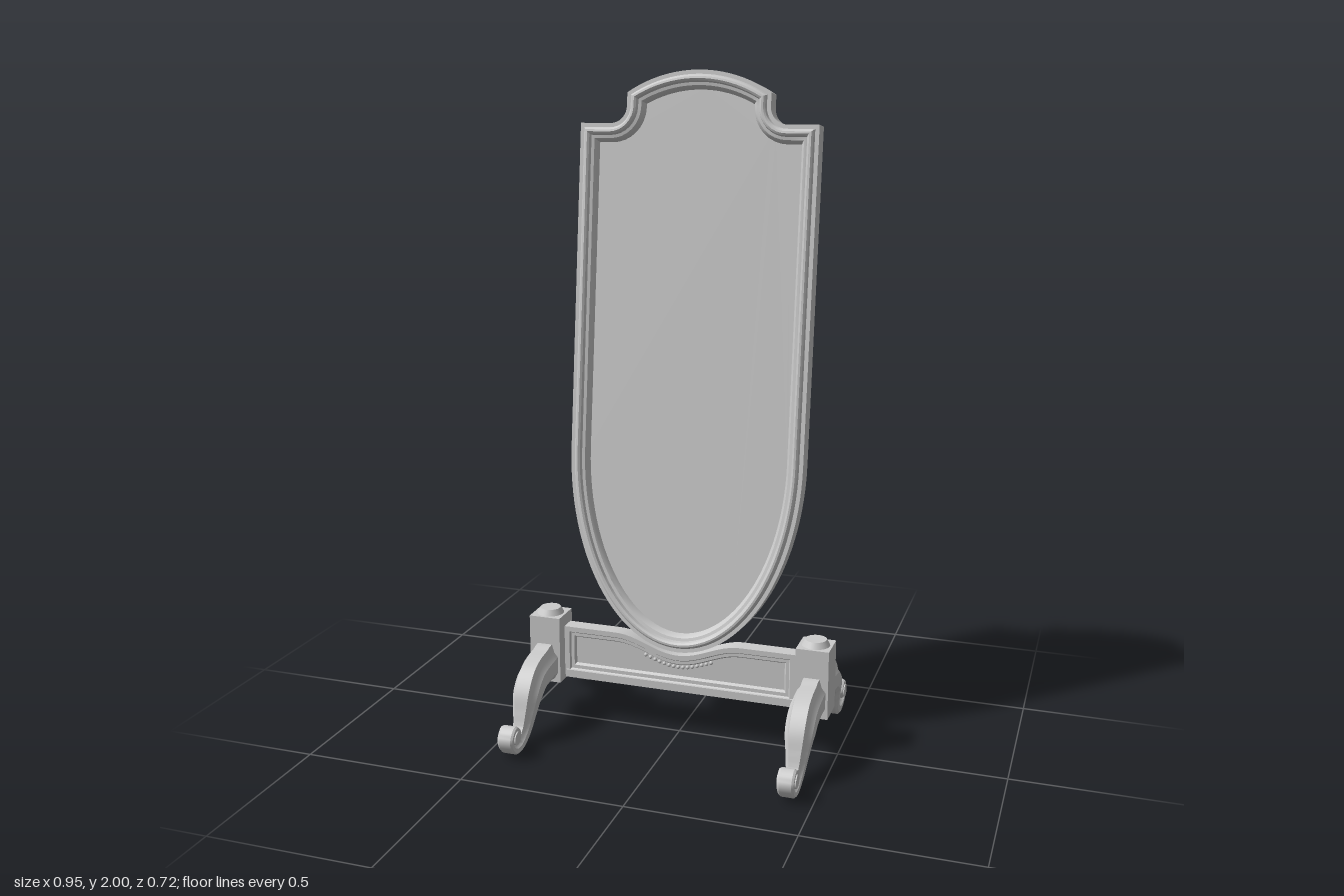
import * as THREE from 'three';
import { toCreasedNormals } from 'three/addons/utils/BufferGeometryUtils.js';

const material = new THREE.MeshStandardMaterial({ color: 0xcccccc });

function part(name, geometry, x = 0, y = 0, z = 0) {
  const mesh = new THREE.Mesh(geometry, material);
  mesh.name = name;
  mesh.position.set(x, y, z);
  return mesh;
}

// Skin a list of closed rings, optionally capping both ends
function loft(rings, capped = false) {
  const n = rings[0].length, index = [];
  for (let i = 0; i < rings.length - 1; i++) {
    for (let j = 0; j < n; j++) {
      const k = (j + 1) % n, a = i * n + j, b = i * n + k;
      index.push(a, b, b + n, a, b + n, a + n);
    }
  }
  if (capped) {
    const e = (rings.length - 1) * n;
    for (let j = 1; j < n - 1; j++) index.push(0, j + 1, j, e, e + j, e + j + 1);
  }
  const g = new THREE.BufferGeometry();
  g.setAttribute('position', new THREE.Float32BufferAttribute(rings.flat(2), 3));
  g.setIndex(index);
  return toCreasedNormals(g, 0.5);
}

// Moulding: outline(inset) swept through a profile of [inset, z]
const moulding = (outline, profile) =>
  loft(profile.map(([d, z]) => outline(d).map(([x, y]) => [x, y, z])));

// Flat panel filling outline(inset) between two depths
function panel(outline, d, z0, z1) {
  const shape = new THREE.Shape(outline(d).map(([x, y]) => new THREE.Vector2(x, y)));
  const g = new THREE.ExtrudeGeometry(shape, { depth: z1 - z0, bevelEnabled: false });
  return g.translate(0, 0, z0);
}

// Mirror outline: elliptical foot, straight sides, coved shoulders, arched top
function mirrorOutline(d) {
  const a = 0.365, b = 0.6, half = [];
  for (let i = 0; i <= 28; i++) {
    const t = (i / 28 - 1) * Math.PI / 2, c = Math.cos(t), s = Math.sin(t);
    const len = Math.hypot(c / a, s / b);
    half.push([a * c - d * c / a / len, b + b * s - d * s / b / len]);
  }
  half.push([a - d, 1.584 - d]);
  for (let i = 0; i <= 8; i++) {
    const t = -Math.PI / 2 * (1 + i / 8);
    half.push([0.27 + (0.05 + d) * Math.cos(t), 1.634 + (0.05 + d) * Math.sin(t)]);
  }
  const R = 0.405 - d, t0 = Math.acos((0.22 - d) / R);
  for (let i = 0; i <= 10; i++) {
    const t = t0 + (Math.PI / 2 - t0) * i / 10;
    half.push([R * Math.cos(t), 1.334 + R * Math.sin(t)]);
  }
  const other = half.slice(1, -1).reverse().map(([x, y]) => [-x, y]);
  return [...half, ...other];
}

// Apron outline: straight rail with a dip under the mirror
const apronTop = x => Math.abs(x) > 0.2 ? 0.31 : 0.285 - 0.025 * Math.cos(Math.PI * x / 0.2);
function apronOutline(d) {
  const w = 0.37 - d, y = 0.15 + d * 1.1, pts = [[-w, y], [w, y]];
  for (let i = 0; i <= 40; i++) {
    const x = w * (1 - i / 20);
    pts.push([x, apronTop(x) - d]);
  }
  return pts;
}

// Scrolled leg reaching towards +z: rows of [z, y, thickness, width]
function legGeometry() {
  const rows = [
    [0, 0.2, 0.1, 0.085], [0.08, 0.198, 0.1, 0.085], [0.15, 0.185, 0.095, 0.085],
    [0.193, 0.148, 0.08, 0.082], [0.215, 0.1, 0.064, 0.067], [0.239, 0.05, 0.05, 0.052],
    [0.285, 0.019, 0.036, 0.045], [0.33, 0.03, 0.026, 0.047], [0.348, 0.063, 0.022, 0.049],
    [0.325, 0.088, 0.022, 0.05], [0.3, 0.07, 0.018, 0.05], [0.312, 0.046, 0.014, 0.05],
  ];
  const path = new THREE.CatmullRomCurve3(rows.map(r => new THREE.Vector3(0, r[1], r[0])));
  const size = new THREE.CatmullRomCurve3(rows.map(r => new THREE.Vector3(r[3], r[2], 0)));
  const section = [[0.75, -1], [1, -0.65], [1, 0.25], [0.72, 0.55], [0.55, 1]];
  const full = [...section, ...section.slice().reverse().map(([u, v]) => [-u, v])];
  const rings = [];
  for (let i = 0; i <= 66; i++) {
    const t = i / 66, p = path.getPoint(t), s = size.getPoint(t), d = path.getTangent(t);
    rings.push(full.map(([u, v]) =>
      [u * s.x / 2, p.y + d.z * v * s.y / 2, p.z - d.y * v * s.y / 2]));
  }
  return loft(rings, true);
}

export function createModel() {
  const model = new THREE.Group();
  model.name = 'cheval mirror';

  // Tilted mirror
  const mirror = new THREE.Group();
  mirror.name = 'mirror';
  mirror.add(
    part('mirrorFrame', moulding(mirrorOutline, [
      [0.055, 0.008], [0.04, 0.008], [0.04, 0], [0, 0], [0, 0.056], [0.012, 0.056],
      [0.015, 0.065], [0.02, 0.069], [0.026, 0.07], [0.032, 0.066], [0.035, 0.055],
      [0.044, 0.053], [0.05, 0.046], [0.055, 0.03],
    ])),
    part('mirrorGlass', panel(mirrorOutline, 0.048, 0.007, 0.032)),
  );
  mirror.position.set(0, 0.265, -0.03);
  mirror.rotation.x = -0.12;
  model.add(mirror);

  // Apron with moulded border, recessed panel and bottom rail
  const front = [[0, 0.024], [0.016, 0.024], [0.02, 0.018], [0.03, 0.018], [0.036, 0.009]];
  const back = front.slice().reverse().map(([d, z]) => [d, -z]);
  model.add(
    part('apronFrame', moulding(apronOutline, [...back, ...front])),
    part('apronPanel', panel(apronOutline, 0.032, -0.01, 0.01)),
    part('bottomRail', new THREE.BoxGeometry(0.73, 0.024, 0.06), 0, 0.157, 0),
  );

  // Carved beading along the dip, both faces
  const bead = new THREE.SphereGeometry(0.006, 8, 6);
  for (const z of [-0.011, 0.011]) {
    for (let i = -7; i <= 7; i++) {
      const x = i * 0.015;
      model.add(part('carvedBead', bead, x, apronTop(x) - 0.042, z));
    }
  }

  // Posts with caps, and a front and back scrolled leg on each
  const leg = legGeometry();
  const eye = new THREE.CylinderGeometry(0.02, 0.02, 0.056, 20).rotateZ(Math.PI / 2);
  for (const side of [-1, 1]) {
    const x = side * 0.426;
    model.add(
      part('post', new THREE.BoxGeometry(0.1, 0.212, 0.1), x, 0.236, 0),
      part('postCap', new THREE.CylinderGeometry(0.032, 0.042, 0.018, 28), x, 0.351, 0),
    );
    for (const turn of [0, Math.PI]) {
      const group = new THREE.Group();
      group.name = turn ? 'backLeg' : 'frontLeg';
      group.add(part('scrolledLeg', leg), part('scrollEye', eye, 0, 0.063, 0.323));
      group.position.x = x;
      group.rotation.y = turn;
      model.add(group);
    }
  }
  return model;
}
